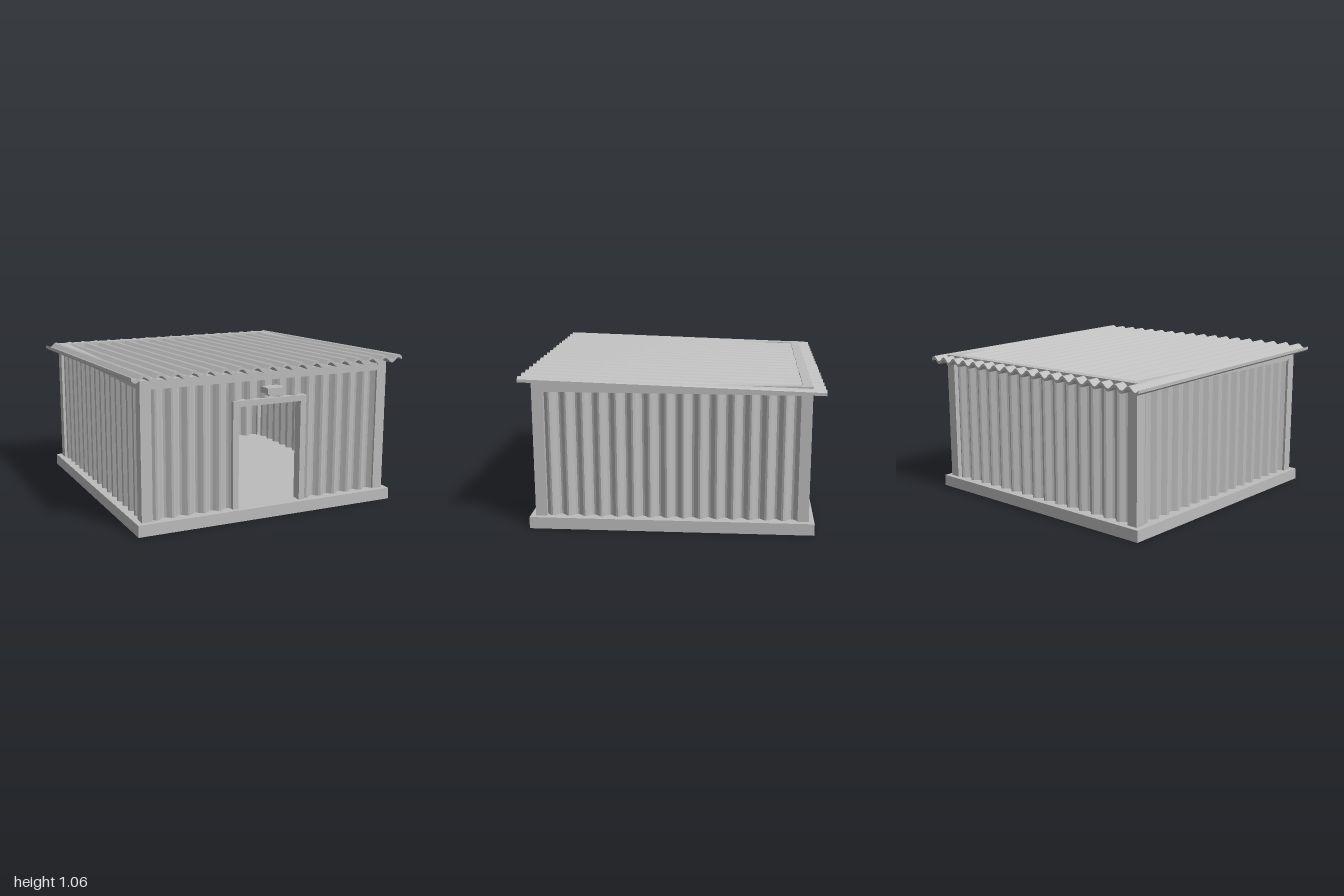
import * as THREE from 'three';

const PERIOD = 1 / 9;

export function createModel() {
  const group = new THREE.Group();
  const grey = new THREE.MeshStandardMaterial({ color: 0xbcbcbc });
  grey.name = 'plain grey';

  const add = (name, geometry, parent = group) => {
    const mesh = new THREE.Mesh(geometry, grey);
    mesh.name = name;
    parent.add(mesh);
    return mesh;
  };

  // Box given by its minimum and maximum corners
  const box = (name, x0, x1, y0, y1, z0, z1, parent = group) => {
    const mesh = add(name, new THREE.BoxGeometry(x1 - x0, y1 - y0, z1 - z0), parent);
    mesh.position.set((x0 + x1) / 2, (y0 + y1) / 2, (z0 + z1) / 2);
    return mesh;
  };

  // Wavy sheet: profile along x, extruded along z
  const corrugated = (x0, x1, depth, amp, thick, sign) => {
    const steps = Math.round(((x1 - x0) / PERIOD) * 8);
    const wave = [];
    for (let i = 0; i <= steps; i++) {
      const x = x0 + ((x1 - x0) * i) / steps;
      wave.push([x, sign * amp * Math.sin((x / PERIOD) * Math.PI * 2)]);
    }
    const points = wave.map(([x, y]) => new THREE.Vector2(x, y - thick / 2));
    wave.reverse().forEach(([x, y]) => points.push(new THREE.Vector2(x, y + thick / 2)));
    return new THREE.ExtrudeGeometry(new THREE.Shape(points), { depth, bevelEnabled: false });
  };

  // Floor slab
  box('floorSlab', -0.957, 0.957, 0, 0.08, -0.957, 0.957);

  // Corner posts and the beams joining their tops
  for (const sx of [-1, 1]) {
    for (const sz of [-1, 1]) {
      const post = box('cornerPost', -0.0375, 0.0375, 0.08, 1.0, -0.0375, 0.0375);
      post.position.x = sx * 0.882;
      post.position.z = sz * 0.882;
    }
    const sideBeam = box('sideBeam', -0.032, 0.032, 0.94, 1.0, -0.845, 0.845);
    sideBeam.position.x = sx * 0.886;
    const endBeam = box('endBeam', -0.845, 0.845, 0.94, 1.0, -0.032, 0.032);
    endBeam.position.z = sz(sx) * 0.886;
  }

  // Corrugated walls, each built facing +z and turned into place
  const wallPanel = (name, x0, x1, y0, y1, angle) => {
    const geometry = corrugated(x0, x1, y1 - y0, 0.02, 0.012, 1);
    geometry.rotateX(-Math.PI / 2).translate(0, y0, 0.885).rotateY(angle);
    add(name, geometry);
  };
  wallPanel('rightWall', -0.86, 0.86, 0.08, 0.945, -Math.PI / 2);
  wallPanel('leftWall', -0.86, 0.86, 0.08, 0.945, Math.PI / 2);
  wallPanel('backWall', -0.86, 0.86, 0.08, 0.945, Math.PI);
  wallPanel('frontWallRight', -0.86, -0.26, 0.08, 0.945, 0);
  wallPanel('frontWallLeft', 0.26, 0.86, 0.08, 0.945, 0);
  wallPanel('frontWallOverDoor', -0.26, 0.26, 0.8, 0.945, 0);

  // Door frame around the open doorway
  const frame = new THREE.Group();
  frame.name = 'doorFrame';
  group.add(frame);
  box('rightJamb', -0.275, -0.232, 0.08, 0.775, 0.85, 0.922, frame);
  box('leftJamb', 0.232, 0.275, 0.08, 0.775, 0.85, 0.922, frame);
  box('doorHeader', -0.275, 0.275, 0.775, 0.815, 0.85, 0.922, frame);

  // Lamp over the door
  const lamp = new THREE.Group();
  lamp.name = 'doorLamp';
  group.add(lamp);
  box('lampHousing', -0.063, 0.06, 0.858, 0.898, 0.9, 1.0, lamp);
  box('lampGlass', -0.045, 0.042, 0.843, 0.858, 0.93, 0.99, lamp);

  // Corrugated roof sheet, sloping down to the back
  const roof = corrugated(-1, 1, 1.99, 0.0175, 0.02, -1);
  roof.translate(0, 0, -1);
  const p = roof.attributes.position;
  for (let i = 0; i < p.count; i++) p.setY(i, p.getY(i) + 0.998 + 0.03 * p.getZ(i));
  roof.computeVertexNormals();
  add('roofSheet', roof);

  return group;
}

// Front beam for +1, back beam for -1
function sz(side) {
  return side > 0 ? 1 : -1;
}
